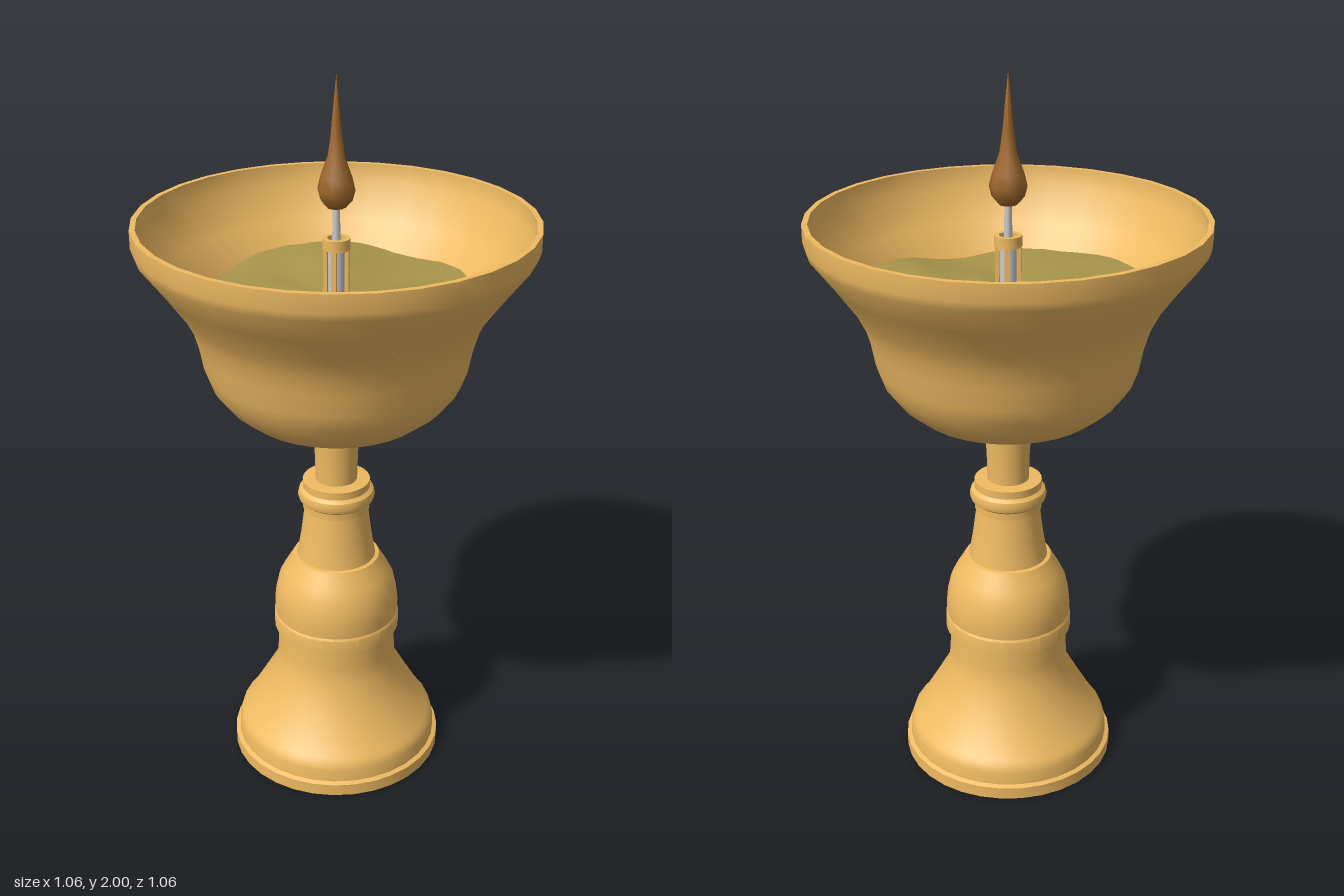
import * as THREE from 'three';
import { toCreasedNormals } from 'three/addons/utils/BufferGeometryUtils.js';

const SIDES = 32;
const gold = new THREE.MeshStandardMaterial({ color: 0xf0bb62, side: THREE.DoubleSide });
const butterMat = new THREE.MeshStandardMaterial({ color: 0xa8954a, side: THREE.DoubleSide });
const flameMat = new THREE.MeshStandardMaterial({ color: 0xa0682c });
const grey = new THREE.MeshStandardMaterial({ color: 0xcccccc });

function add(parent, name, geometry, material, y = 0) {
  const mesh = new THREE.Mesh(geometry, material);
  mesh.name = name;
  mesh.position.y = y;
  parent.add(mesh);
  return mesh;
}

// Turned shape from [radius, height] pairs, listed from the bottom up
function turned(profile, sides = SIDES, crease = 0.6) {
  const points = profile.map(([r, y]) => new THREE.Vector2(r, y));
  return toCreasedNormals(new THREE.LatheGeometry(points, sides), crease);
}

// Gently rippled height of the butter
function butterHeight(r, a) {
  const swell = Math.sin(3 * a + 0.7) * 0.5 + Math.sin(5 * a + 2 + r * 9) * 0.3 + Math.cos(8 * a - r * 14) * 0.2;
  return 1.41 + 0.022 * swell * Math.min(1, r / 0.3);
}

// Disc whose edge follows the sloping bowl wall
function butterGeometry() {
  const rings = 10;
  const geometry = new THREE.RingGeometry(0.001, 1, SIDES, rings);
  geometry.rotateX(-Math.PI / 2);
  const p = geometry.attributes.position;
  for (let i = 0; i < p.count; i++) {
    const x = p.getX(i), z = p.getZ(i);
    const t = Math.hypot(x, z), a = Math.atan2(z, x);
    const y = butterHeight(t * 0.42, a);
    const edge = 0.418 + (y - 1.41) * 0.63;
    p.setXYZ(i, x * edge, y, z * edge);
  }
  geometry.computeVertexNormals();
  return geometry;
}

export function createModel() {
  const group = new THREE.Group();

  // Flared hollow foot
  add(group, 'foot', turned([
    [0.303, 0], [0.303, 0.035], [0.291, 0.04], [0.289, 0.075], [0.282, 0.098], [0.272, 0.107],
    [0.222, 0.193], [0.173, 0.28], [0.169, 0.34], [0.167, 0.405],
  ]), gold);

  // Domed middle with a raised band
  add(group, 'dome', turned([
    [0.167, 0.402], [0.18, 0.402], [0.18, 0.443], [0.176, 0.449], [0.178, 0.478], [0.174, 0.515],
    [0.165, 0.555], [0.15, 0.585], [0.132, 0.615], [0.122, 0.633], [0.11, 0.635],
  ]), gold);

  // Tapered neck, ringed collar and upper stem
  add(group, 'neck', turned([[0.112, 0.63], [0.1, 0.7], [0.089, 0.785]]), gold);
  add(group, 'collar', turned([
    [0.088, 0.783], [0.094, 0.785], [0.094, 0.805], [0.104, 0.813], [0.108, 0.827],
    [0.104, 0.842], [0.094, 0.85], [0.094, 0.872], [0.058, 0.874],
  ]), gold);
  add(group, 'upperStem', turned([[0.058, 0.87], [0.06, 0.95], [0.066, 1.04]]), gold);

  // Shallow dish joining the stem to the bowl
  add(group, 'bowlSeat', turned([[0.06, 1.036], [0.1, 1.042], [0.172, 1.06], [0.172, 1.08]]), gold);

  // Double-walled bowl with an upright lip
  add(group, 'bowl', turned([
    [0, 1.072], [0.2, 1.074], [0.25, 1.09], [0.3, 1.13], [0.338, 1.18], [0.356, 1.23], [0.367, 1.29],
    [0.383, 1.345], [0.408, 1.395], [0.465, 1.475], [0.524, 1.553], [0.531, 1.575], [0.531, 1.623],
    [0.516, 1.623], [0.514, 1.57], [0.45, 1.475], [0.393, 1.395], [0.368, 1.345], [0.35, 1.28],
    [0.32, 1.18], [0.24, 1.11], [0, 1.095],
  ]), gold);

  add(group, 'butter', butterGeometry(), butterMat);

  // Slotted holder: two rings joined by four posts
  const holder = new THREE.Group();
  holder.name = 'wickHolder';
  group.add(holder);
  const ring = [[0.024, 0], [0.037, 0], [0.037, 0.03], [0.024, 0.03], [0.024, 0]];
  add(holder, 'topRing', turned(ring, 16), gold, 1.545);
  add(holder, 'bottomRing', turned(ring, 16), gold, 1.395);
  for (let i = 0; i < 4; i++) {
    const a = i * Math.PI / 2;
    const post = add(holder, 'post', new THREE.BoxGeometry(0.014, 0.16, 0.01), gold, 1.475);
    post.position.x = Math.sin(a) * 0.029;
    post.position.z = Math.cos(a) * 0.029;
    post.rotation.y = a;
  }

  // Wick bundle, tip and flame
  add(group, 'wickBundle', new THREE.CylinderGeometry(0.022, 0.022, 0.17, 12), grey, 1.475);
  add(group, 'wick', new THREE.CylinderGeometry(0.009, 0.012, 0.13, 8), grey, 1.605);
  add(group, 'flame', turned([
    [0, 1.655], [0.025, 1.657], [0.043, 1.678], [0.05, 1.705], [0.042, 1.738], [0.023, 1.79],
    [0.015, 1.845], [0.008, 1.92], [0, 2],
  ], 8, 1.0), flameMat);

  return group;
}
